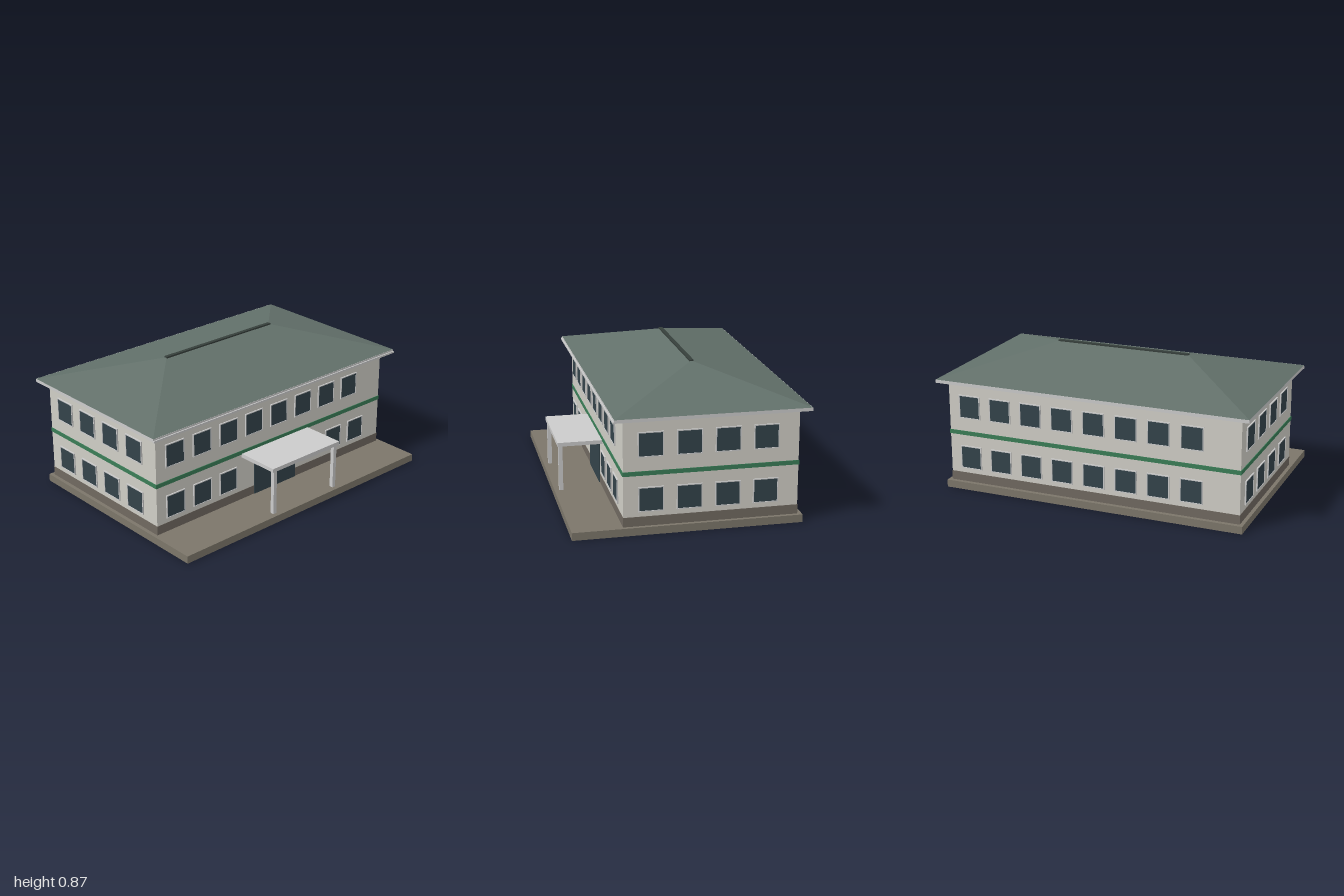
import * as THREE from 'three';

const material = (color) => new THREE.MeshStandardMaterial({ color });

export function createModel() {
  const building = new THREE.Group();
  building.name = 'building';

  const wall = material(0xd0cec6), trim = material(0xcccccc), glass = material(0x33434a);
  const green = material(0x3a7d57), stone = material(0x7c766a), plinthStone = material(0x706960);
  const roofing = material(0x62706a), ridgeDark = material(0x363f3b);

  // Box given by its low and high corners
  function box(name, mat, [x0, y0, z0], [x1, y1, z1], parent = building) {
    const mesh = new THREE.Mesh(new THREE.BoxGeometry(x1 - x0, y1 - y0, z1 - z0), mat);
    mesh.position.set((x0 + x1) / 2, (y0 + y1) / 2, (z0 + z1) / 2);
    mesh.name = name;
    parent.add(mesh);
    return mesh;
  }

  // The house body is centred on this z; the terrace reaches further forward
  const cz = -0.119, hw = 0.94, hd = 0.517;
  const layer = (name, mat, y0, y1, grow) =>
    box(name, mat, [-hw - grow, y0, cz - hd - grow], [hw + grow, y1, cz + hd + grow]);

  // Terrace, walls and horizontal bands
  box('terrace', stone, [-0.965, 0, -0.664], [0.965, 0.047, 0.698]);
  layer('plinth', plinthStone, 0.047, 0.104, 0.002);
  layer('walls', wall, 0.104, 0.687, 0);
  layer('floorBand', green, 0.352, 0.378, 0.004);
  layer('eaveBand', green, 0.677, 0.687, 0.004);

  // Eaves, front gutter and hipped roof
  layer('eaves', trim, 0.687, 0.707, 0.058);
  box('gutter', trim, [-1, 0.684, 0.453], [1, 0.696, 0.463]);

  const ridgeHalf = 0.425, roofHeight = 0.161;
  const roofGeometry = new THREE.BoxGeometry(1.996, roofHeight, 1.148);
  const p = roofGeometry.attributes.position;
  for (let i = 0; i < p.count; i++) {
    if (p.getY(i) > 0) {
      p.setX(i, Math.sign(p.getX(i)) * ridgeHalf); // draw the top in to the ridge line
      p.setZ(i, 0);
    }
  }
  roofGeometry.computeVertexNormals();
  const roof = new THREE.Mesh(roofGeometry, roofing);
  roof.name = 'roof';
  roof.position.set(0, 0.707 + roofHeight / 2, cz);
  building.add(roof);
  box('ridgeCap', ridgeDark, [-0.432, 0.862, cz - 0.012], [0.432, 0.874, cz + 0.012]);

  // Window: a raised frame with the pane set back inside it
  const rectangle = (PathType, w, h) => new PathType([
    new THREE.Vector2(-w / 2, -h / 2), new THREE.Vector2(w / 2, -h / 2),
    new THREE.Vector2(w / 2, h / 2), new THREE.Vector2(-w / 2, h / 2),
  ]);
  function windowParts(width, height, border) {
    const shape = rectangle(THREE.Shape, width, height);
    shape.holes.push(rectangle(THREE.Path, width - 2 * border, height - 2 * border));
    return {
      frame: new THREE.ExtrudeGeometry(shape, { depth: 0.008, bevelEnabled: false }),
      pane: new THREE.BoxGeometry(width - 2 * border, height - 2 * border, 0.01),
    };
  }
  const longWindow = windowParts(0.141, 0.148, 0.006);
  const sideWindow = windowParts(0.15, 0.148, 0.006);

  // One wall of windows; offsets run to the right as seen from outside
  function windowRow(name, parts, offsets, y, turn, distance) {
    const row = new THREE.Group();
    row.name = name;
    for (const x of offsets) {
      const frame = new THREE.Mesh(parts.frame, trim);
      frame.name = 'windowFrame';
      frame.position.set(x, y, distance);
      const pane = new THREE.Mesh(parts.pane, glass);
      pane.name = 'windowPane';
      pane.position.set(x, y, distance);
      row.add(frame, pane);
    }
    row.position.z = cz;
    row.rotation.y = turn;
    building.add(row);
  }

  const longOffsets = Array.from({ length: 8 }, (_, i) => -0.8 + i * 0.2063);
  const sideOffsets = Array.from({ length: 4 }, (_, i) => -0.356 + i * 0.2257);
  const doorSideOffsets = [-0.8, -0.594, -0.388, 0.31, 0.514, 0.719];
  for (const [storey, y] of [['lower', 0.208], ['upper', 0.536]]) {
    const front = storey === 'lower' ? doorSideOffsets : longOffsets;
    windowRow(storey + 'FrontWindows', longWindow, front, y, 0, hd);
    windowRow(storey + 'BackWindows', longWindow, longOffsets, y, Math.PI, hd);
    windowRow(storey + 'LeftWindows', sideWindow, sideOffsets, y, Math.PI / 2, hw);
    windowRow(storey + 'RightWindows', sideWindow, sideOffsets, y, -Math.PI / 2, hw);
  }

  // Entrance with canopy on two posts
  const entrance = new THREE.Group();
  entrance.name = 'entrance';
  building.add(entrance);
  box('door', glass, [-0.175, 0.047, 0.39], [0.175, 0.3, 0.404], entrance);
  box('canopy', trim, [-0.28, 0.333, 0.395], [0.28, 0.357, 0.676], entrance);
  for (const x of [-0.254, 0.254]) {
    box('canopyPost', trim, [x - 0.012, 0.047, 0.644], [x + 0.012, 0.333, 0.669], entrance);
  }

  return building;
}
